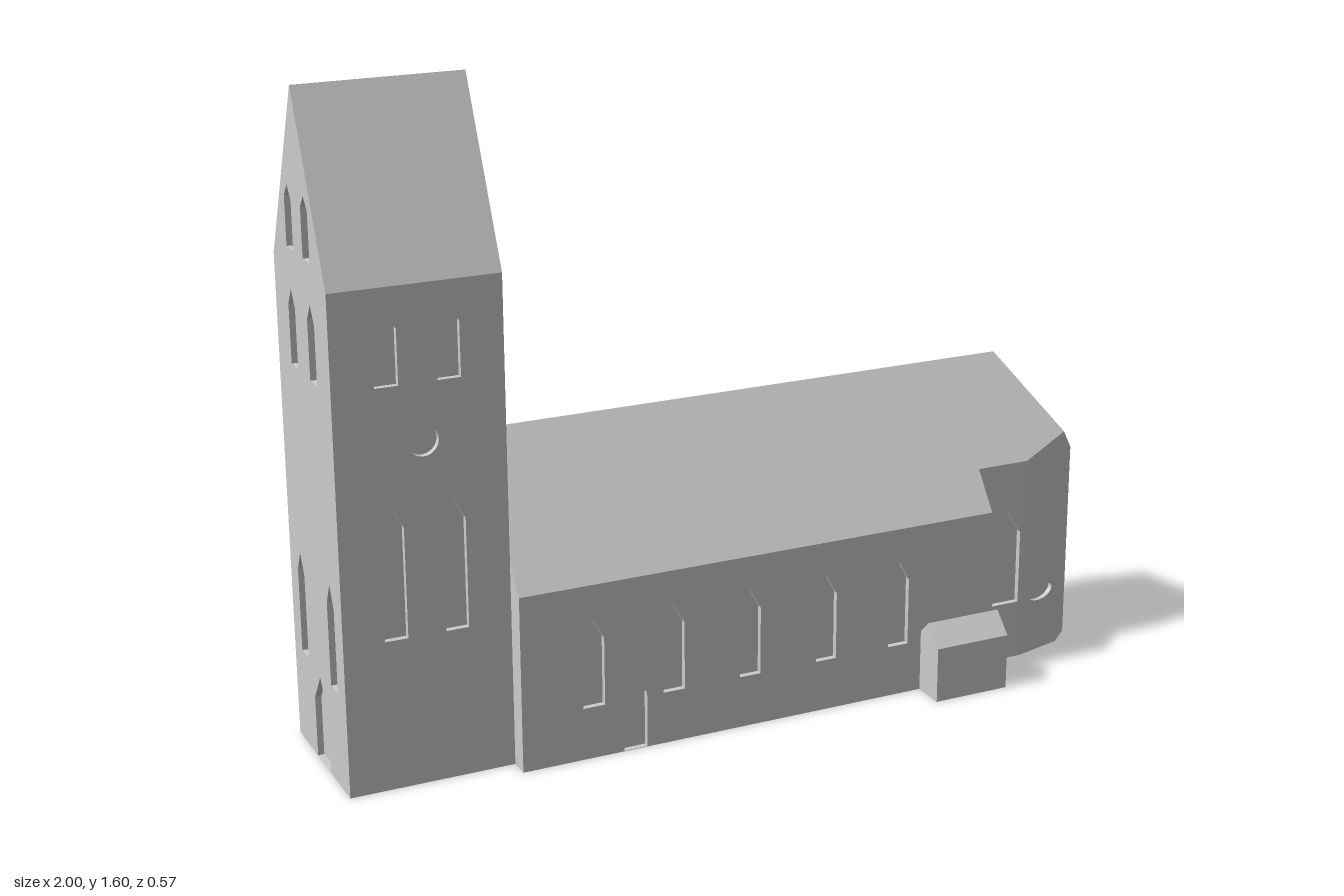
import * as THREE from 'three';
import { ConvexGeometry } from 'three/addons/geometries/ConvexGeometry.js';

const stone = new THREE.MeshStandardMaterial({ color: 0xcccccc });
stone.name = 'pale stone';

const D = 0.015;      // depth of window recesses
const C = -0.042;     // z of the ridge line
const SLOPE = 1.36;   // nave and choir roof pitch
const RIDGE = 0.765;

const shapeOf = (pts) => new THREE.Shape(pts.map(([x, y]) => new THREE.Vector2(x, y)));

// Openings: u is measured from the middle of the wall
function arched(u, y0, w, shoulder, top) {
  const h = w / 2;
  return new THREE.Path([[u - h, y0], [u + h, y0], [u + h, shoulder], [u, top], [u - h, shoulder]]
    .map(([x, y]) => new THREE.Vector2(x, y)));
}
function oval(u, y, rx, ry) {
  return new THREE.Path().absellipse(u, y, rx, ry, 0, Math.PI * 2, false, 0);
}

// Wall skin from a to b ([x, z]); its outside lies to the right of a -> b seen from above
function wall(name, a, b, height, openings = [], peak = 0) {
  const dx = b[0] - a[0], dz = b[1] - a[1], h = Math.hypot(dx, dz) / 2;
  const pts = [[-h, 0], [h, 0], [h, height]];
  if (peak) pts.push([0, peak]);
  pts.push([-h, height]);
  const shape = shapeOf(pts);
  shape.holes.push(...openings);
  const geo = new THREE.ExtrudeGeometry(shape, { depth: D, bevelEnabled: false, curveSegments: 24 });
  geo.translate(0, 0, -D);
  geo.rotateY(Math.atan2(-dz, dx));
  geo.translate((a[0] + b[0]) / 2, 0, (a[1] + b[1]) / 2);
  const mesh = new THREE.Mesh(geo, stone);
  mesh.name = name;
  return mesh;
}

// Prism running along x; profile points are [z, y]
function prism(name, profile, x0, x1) {
  const geo = new THREE.ExtrudeGeometry(shapeOf(profile.map(([z, y]) => [-z, y])),
    { depth: x1 - x0, bevelEnabled: false });
  geo.rotateY(Math.PI / 2);
  geo.translate(x0, 0, 0);
  const mesh = new THREE.Mesh(geo, stone);
  mesh.name = name;
  return mesh;
}

// Gabled block: recessed core with roof, plus pierced long walls
function hall(name, x0, x1, half, eave, ridge, front, back) {
  const g = new THREE.Group();
  g.name = name;
  const i = half - D;
  const profile = [[-i, 0], [i, 0], [i, eave], [half, eave], [0, ridge], [-half, eave], [-i, eave]];
  g.add(prism(name + 'CoreAndRoof', profile.map(([z, y]) => [z + C, y]), x0, x1));
  g.add(wall(name + 'FrontWall', [x0, C + half], [x1, C + half], eave, front));
  g.add(wall(name + 'BackWall', [x1, C - half], [x0, C - half], eave, back));
  return g;
}

// Rounds the shading of the apse walls
function roundNormals(geo) {
  const p = geo.attributes.position, n = geo.attributes.normal;
  const v = new THREE.Vector3(), m = new THREE.Vector3();
  for (let i = 0; i < p.count; i++) {
    v.set(p.getX(i) - 0.79, 0, p.getZ(i) - C).normalize();
    m.fromBufferAttribute(n, i);
    if (Math.abs(m.y) < 0.1 && m.dot(v) > 0.8) n.setXYZ(i, v.x, 0, v.z);
  }
  return geo;
}

function createTower() {
  const half = 0.192, eave = 1.185, ridge = 1.6, x0 = -1, x1 = -0.6;
  const pairs = () => [-0.075, 0.07].flatMap((u) => [
    arched(u, 0.96, 0.055, 1.09, 1.13), arched(u, 0.365, 0.055, 0.63, 0.68)]);
  const belfry = () => [-0.06, 0.06].map((u) => arched(u, 1.225, 0.05, 1.34, 1.37));
  const g = hall('tower', x0 + D, x1 - D, half, eave, ridge,
    [...pairs(), oval(0.005, 0.825, 0.036, 0.036)], pairs());
  // gable walls
  g.add(wall('towerInnerGable', [x1, C + half], [x1, C - half], eave, belfry(), ridge));
  const west = [...belfry(), arched(0, 0.001, 0.1, 0.15, 0.22)];
  for (const s of [-1, 1]) {
    west.push(arched(s * 0.07, 0.95, 0.05, 1.09, 1.13), arched(s * 0.11, 0.235, 0.05, 0.44, 0.49));
  }
  g.add(wall('towerEntranceGable', [x0, C - half], [x0, C + half], eave, west, ridge));
  return g;
}

function createApse() {
  const g = new THREE.Group();
  g.name = 'apse';
  const side = [[0.79, 0.175], [0.92, 0.14], [0.975, 0.09], [1, 0.048]];
  const plan = [...side, ...side.slice().reverse().map(([x, z]) => [x, -z])];
  const split = 0.3;
  const roofY = (x, z) => RIDGE - Math.max(SLOPE * Math.abs(z), 1.38 * (x - 0.79));

  // hipped roof with the upper wall band
  const top = [new THREE.Vector3(0.79, RIDGE, C)];
  const core = [];
  for (const [x, z] of plan) {
    top.push(new THREE.Vector3(x, split, z + C), new THREE.Vector3(x, roofY(x, z), z + C));
    for (const y of [0, split + 0.01]) {
      core.push(new THREE.Vector3(0.79 + (x - 0.79) * 0.93, y, z * 0.93 + C));
    }
  }
  const roof = new THREE.Mesh(roundNormals(new ConvexGeometry(top)), stone);
  roof.name = 'apseRoof';
  const inner = new THREE.Mesh(roundNormals(new ConvexGeometry(core)), stone);
  inner.name = 'apseCore';
  g.add(roof, inner);

  // lower wall facets, two of them with oval windows
  const ovals = { 0: [oval(0, 0.16, 0.045, 0.025)], 3: [oval(0, 0.16, 0.042, 0.025)] };
  for (let i = 0; i < plan.length - 1; i++) {
    const [a, b] = [plan[i], plan[i + 1]].map(([x, z]) => [x, z + C]);
    const facet = wall('apseWall', a, b, split, ovals[i]);
    roundNormals(facet.geometry);
    g.add(facet);
  }
  return g;
}

export function createModel() {
  const church = new THREE.Group();
  church.name = 'church';
  church.add(createTower());

  // nave with five windows a side and a small front door
  const mid = 0.025;
  const xs = [-0.42, -0.215, -0.015, 0.19, 0.39];
  const naveWindows = (s) => xs.map((x) => arched(s * (x - mid), 0.13, 0.055, 0.3, 0.35));
  church.add(hall('nave', -0.6, 0.65, 0.2425, RIDGE - SLOPE * 0.2425, RIDGE,
    [...naveWindows(1), arched(-0.315 - mid, 0.001, 0.06, 0.14, 0.18)], naveWindows(-1)));

  // choir with one larger window a side
  const choirWindow = (s) => [arched(s * 0.02, 0.15, 0.075, 0.34, 0.4)];
  church.add(hall('choir', 0.65, 0.79, 0.175, RIDGE - SLOPE * 0.175, RIDGE,
    choirWindow(1), choirWindow(-1)));
  church.add(createApse());

  // sacristy lean-to
  church.add(prism('sacristy',
    [[0.19, 0], [0.285, 0], [0.285, 0.14], [0.235, 0.19], [0.2, 0.155], [0.19, 0.155]], 0.455, 0.653));
  return church;
}
